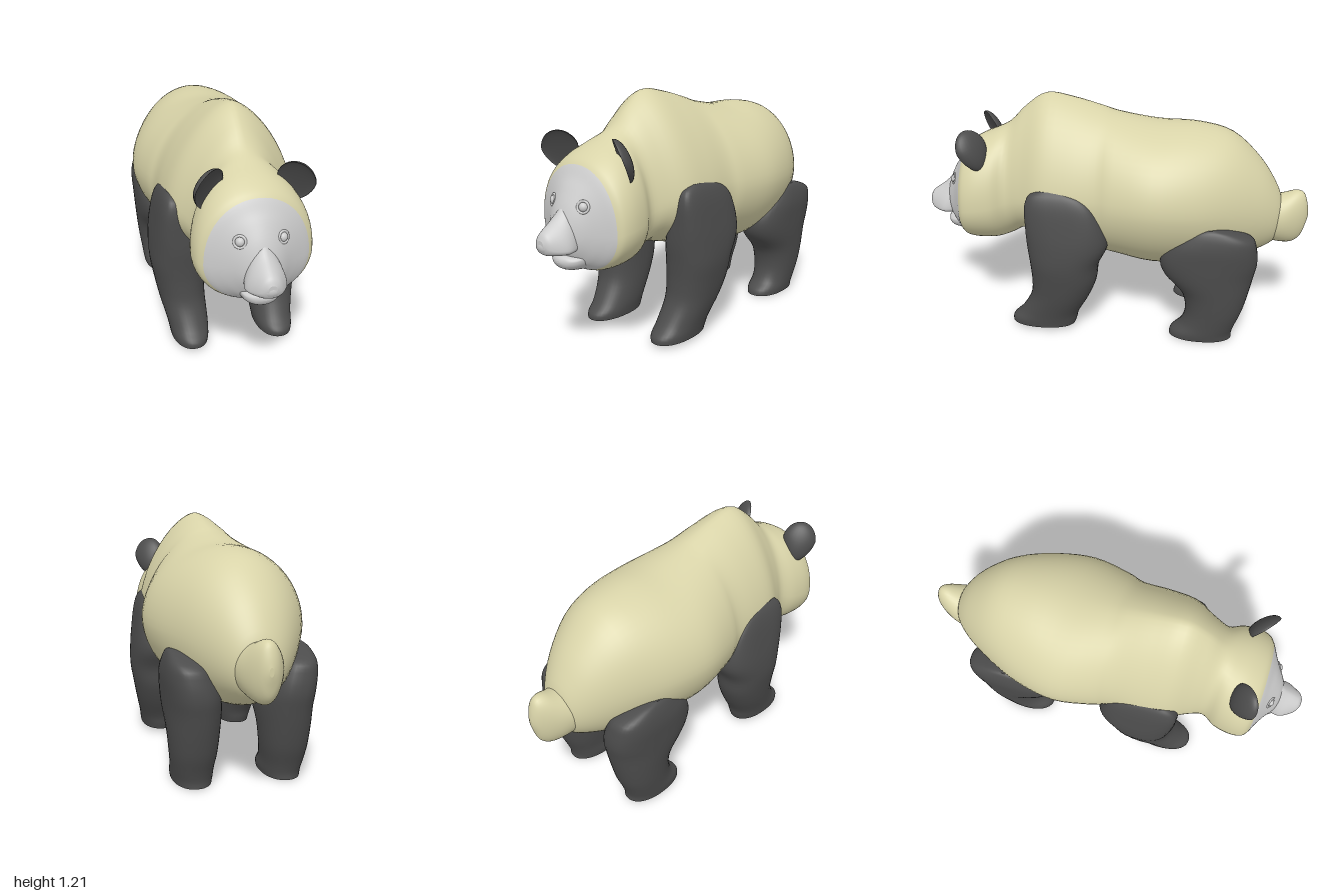
import * as THREE from 'three';

const fur = new THREE.MeshStandardMaterial({ color: 0xd8d3a8 });
const dark = new THREE.MeshStandardMaterial({ color: 0x4c4c4c });
const grey = new THREE.MeshStandardMaterial({ color: 0xcccccc });

// Smooth interpolation through rows of numbers, t in row units
function sample(rows, t) {
  const i = Math.min(Math.floor(t), rows.length - 2), f = t - i;
  const row = k => rows[Math.max(0, Math.min(rows.length - 1, k))];
  return rows[0].map((_, c) => {
    const a = row(i - 1)[c], b = row(i)[c], d = row(i + 1)[c], e = row(i + 2)[c];
    return b + 0.5 * f * (d - a + f * (2 * a - 5 * b + 4 * d - e + f * (3 * (b - d) + e - a)));
  });
}

// Skin over the rings point(row, angle); only rows from..to get faces, ends are capped
function loft(rows, point, from = 0, to = rows.length - 1, sides = 40, sub = 4) {
  const pos = [], index = [], n = (rows.length - 1) * sub;
  const ring = i => {
    const row = sample(rows, i / sub);
    for (let j = 0; j < sides; j++) pos.push(...point(row, (j / sides) * Math.PI * 2));
  };
  for (let i = 0; i <= n; i++) ring(i);
  const skin = (i0, i1) => {
    const out = [];
    for (let i = i0; i < i1; i++) for (let j = 0; j < sides; j++) {
      const a = i * sides + j, b = i * sides + (j + 1) % sides;
      out.push(a, b, a + sides, b, b + sides, a + sides);
    }
    return out;
  };
  const caps = [];
  for (const i of [0, n]) {
    const start = pos.length / 3;
    ring(i);
    for (let j = 1; j < sides - 1; j++) {
      caps.push(start, start + (i ? j : j + 1), start + (i ? j + 1 : j));
    }
    if (i ? to === rows.length - 1 : from === 0) index.push(...caps.slice(-3 * (sides - 2)));
  }
  const g = new THREE.BufferGeometry();
  g.setAttribute('position', new THREE.Float32BufferAttribute(pos, 3));
  g.setIndex([...skin(0, n), ...caps]);
  g.computeVertexNormals();
  g.setIndex([...skin(from * sub, to * sub), ...index]);
  return g;
}

const bend = (v, p) => Math.sign(v) * Math.abs(v) ** (2 / p);

// Ring across z: [z, top, bottom, halfWidth, widestY, upperPower, lowerPower]
function acrossZ([z, top, bottom, w, mid, pTop = 2, pBottom = 2], a) {
  const s = Math.sin(a), p = s > 0 ? pTop : pBottom;
  return [w * bend(Math.cos(a), p), mid + (s > 0 ? top - mid : mid - bottom) * bend(s, p), z];
}

// Ring across y: [y, zBack, zFront, xInner, xOuter, power]
function acrossY([y, z0, z1, x0, x1, p], a) {
  return [(x0 + x1) / 2 + (x1 - x0) / 2 * bend(Math.sin(a), p), y,
    (z0 + z1) / 2 + (z1 - z0) / 2 * bend(Math.cos(a), p)];
}

const trunk = [
  [-0.865, 0.68, 0.58, 0.05, 0.63, 2, 2],
  [-0.84, 0.76, 0.48, 0.11, 0.62, 2, 2],
  [-0.75, 0.90, 0.42, 0.19, 0.66, 2, 2],
  [-0.60, 1.035, 0.37, 0.28, 0.70, 1.95, 1.9],
  [-0.42, 1.08, 0.34, 0.355, 0.71, 1.9, 1.8],
  [-0.22, 1.085, 0.33, 0.39, 0.72, 1.9, 1.8],
  [-0.03, 1.12, 0.37, 0.355, 0.72, 1.8, 1.9],
  [0.06, 1.15, 0.39, 0.325, 0.72, 1.7, 2],
  [0.20, 1.19, 0.42, 0.325, 0.72, 1.6, 2],
  [0.34, 1.21, 0.46, 0.31, 0.72, 1.55, 2],
  [0.45, 1.14, 0.49, 0.255, 0.70, 1.6, 2],
  [0.53, 1.06, 0.45, 0.225, 0.68, 1.8, 2],
  [0.60, 1.02, 0.425, 0.26, 0.66, 2, 2],
  [0.68, 0.985, 0.42, 0.275, 0.65, 2.1, 2],
  [0.74, 0.95, 0.425, 0.267, 0.64, 2.1, 2],
  [0.77, 0.92, 0.435, 0.24, 0.63, 2.1, 2],
  [0.80, 0.87, 0.45, 0.185, 0.63, 2.1, 2],
  [0.83, 0.825, 0.465, 0.135, 0.63, 2, 2],
  [0.865, 0.76, 0.51, 0.09, 0.62, 2, 2],
  [0.89, 0.69, 0.56, 0.05, 0.62, 2, 2],
];
const FACE = 15; // row where the grey face begins

const tail = [
  [-0.78, 0.70, 0.48, 0.12, 0.60], [-0.87, 0.725, 0.462, 0.1, 0.60],
  [-0.93, 0.745, 0.465, 0.075, 0.61], [-0.97, 0.735, 0.50, 0.05, 0.62],
  [-0.99, 0.69, 0.56, 0.03, 0.62], [-1.0, 0.64, 0.60, 0.01, 0.62],
].reverse();

const muzzle = [
  [0.80, 0.77, 0.55, 0.06, 0.60, 1.6, 2.4], [0.86, 0.75, 0.545, 0.085, 0.58, 1.6, 2.4],
  [0.91, 0.705, 0.545, 0.092, 0.575, 1.6, 2.4], [0.96, 0.67, 0.55, 0.066, 0.58, 1.8, 2.2],
  [0.985, 0.65, 0.56, 0.045, 0.59, 2, 2], [0.998, 0.625, 0.585, 0.02, 0.605, 2, 2],
];
const jaw = [
  [0.78, 0.56, 0.44, 0.10, 0.52], [0.85, 0.535, 0.453, 0.086, 0.51],
  [0.885, 0.53, 0.468, 0.06, 0.505], [0.90, 0.52, 0.485, 0.03, 0.503],
  [0.905, 0.508, 0.498, 0.01, 0.503],
];

const frontLeg = [
  [0.02, 0.18, 0.515, 0.13, 0.31, 2.2], [0.05, 0.17, 0.51, 0.125, 0.315, 2.2],
  [0.10, 0.155, 0.46, 0.12, 0.325, 2.2], [0.20, 0.10, 0.405, 0.12, 0.35, 2.2],
  [0.30, 0.06, 0.395, 0.12, 0.37, 2.3], [0.40, 0.045, 0.40, 0.12, 0.385, 2.4],
  [0.50, 0.0, 0.41, 0.13, 0.383, 2.6], [0.60, 0.015, 0.412, 0.17, 0.37, 3],
  [0.70, 0.06, 0.41, 0.22, 0.352, 3.2], [0.76, 0.12, 0.39, 0.24, 0.332, 3.2],
  [0.79, 0.20, 0.34, 0.25, 0.31, 3],
];
const backLeg = [
  [0.0, -0.645, -0.32, 0.125, 0.31, 2.2], [0.03, -0.645, -0.33, 0.12, 0.315, 2.2],
  [0.08, -0.66, -0.38, 0.12, 0.32, 2.2], [0.16, -0.69, -0.40, 0.11, 0.33, 2.2],
  [0.26, -0.715, -0.375, 0.10, 0.34, 2.2], [0.36, -0.735, -0.285, 0.09, 0.35, 2.3],
  [0.44, -0.748, -0.265, 0.10, 0.355, 2.5], [0.52, -0.74, -0.30, 0.13, 0.358, 2.6],
  [0.58, -0.715, -0.36, 0.17, 0.35, 2.6], [0.62, -0.62, -0.43, 0.24, 0.335, 2.6],
  [0.635, -0.55, -0.48, 0.26, 0.32, 2.4],
];

// Round ear: a flattened ball narrowing to its root, with the front pushed in as a cup
function earGeometry() {
  const g = new THREE.SphereGeometry(1, 28, 20), p = g.attributes.position;
  for (let i = 0; i < p.count; i++) {
    const x = p.getX(i), y = p.getY(i), z = p.getZ(i);
    const taper = 0.75 + 0.25 * Math.min(1, y + 0.8);
    p.setXYZ(i, x * 0.09 * taper, y * 0.108, z * (z > 0 ? -0.015 : 0.045));
  }
  g.computeVertexNormals();
  return g;
}

export function createModel() {
  const model = new THREE.Group();
  const add = (parent, name, geometry, material, x = 0, y = 0, z = 0) => {
    const m = new THREE.Mesh(geometry, material);
    m.name = name;
    m.position.set(x, y, z);
    parent.add(m);
    return m;
  };

  // Trunk, head and tail
  add(model, 'body', loft(trunk, acrossZ, 0, FACE, 56), fur);
  add(model, 'face', loft(trunk, acrossZ, FACE, trunk.length - 1, 56), grey);
  add(model, 'tail', loft(tail, acrossZ), fur);

  // Muzzle
  add(model, 'muzzle', loft(muzzle, acrossZ), grey);
  add(model, 'lowerJaw', loft(jaw, acrossZ), grey);
  add(model, 'nose', new THREE.SphereGeometry(1, 24, 16), grey, 0, 0.595, 0.974).scale.set(0.045, 0.032, 0.026);

  // Paired parts, mirrored by a rule so that face order stays correct
  for (const side of [1, -1]) {
    const label = side > 0 ? 'left' : 'right';
    const mirrored = ([y, z0, z1, x0, x1, p]) =>
      side > 0 ? [y, z0, z1, x0, x1, p] : [y, z0, z1, -x1, -x0, p];
    add(model, label + 'FrontLeg', loft(frontLeg.map(mirrored), acrossY), dark);
    add(model, label + 'BackLeg', loft(backLeg.map(mirrored), acrossY), dark);

    const ear = add(model, label + 'Ear', earGeometry(), dark, side * 0.195, 0.945, 0.69);
    ear.rotation.set(0.35, -0.65 * side, -0.2 * side, 'YXZ');

    const eye = new THREE.Group();
    eye.name = label + 'Eye';
    eye.position.set(side * 0.094, 0.755, 0.826);
    eye.rotation.set(-0.25, 0.45 * side, 0, 'YXZ');
    add(eye, 'eyeball', new THREE.SphereGeometry(0.022, 20, 14), grey);
    add(eye, 'eyelid', new THREE.TorusGeometry(0.026, 0.006, 10, 28), grey, 0, 0, 0.006);
    model.add(eye);
  }
  return model;
}
